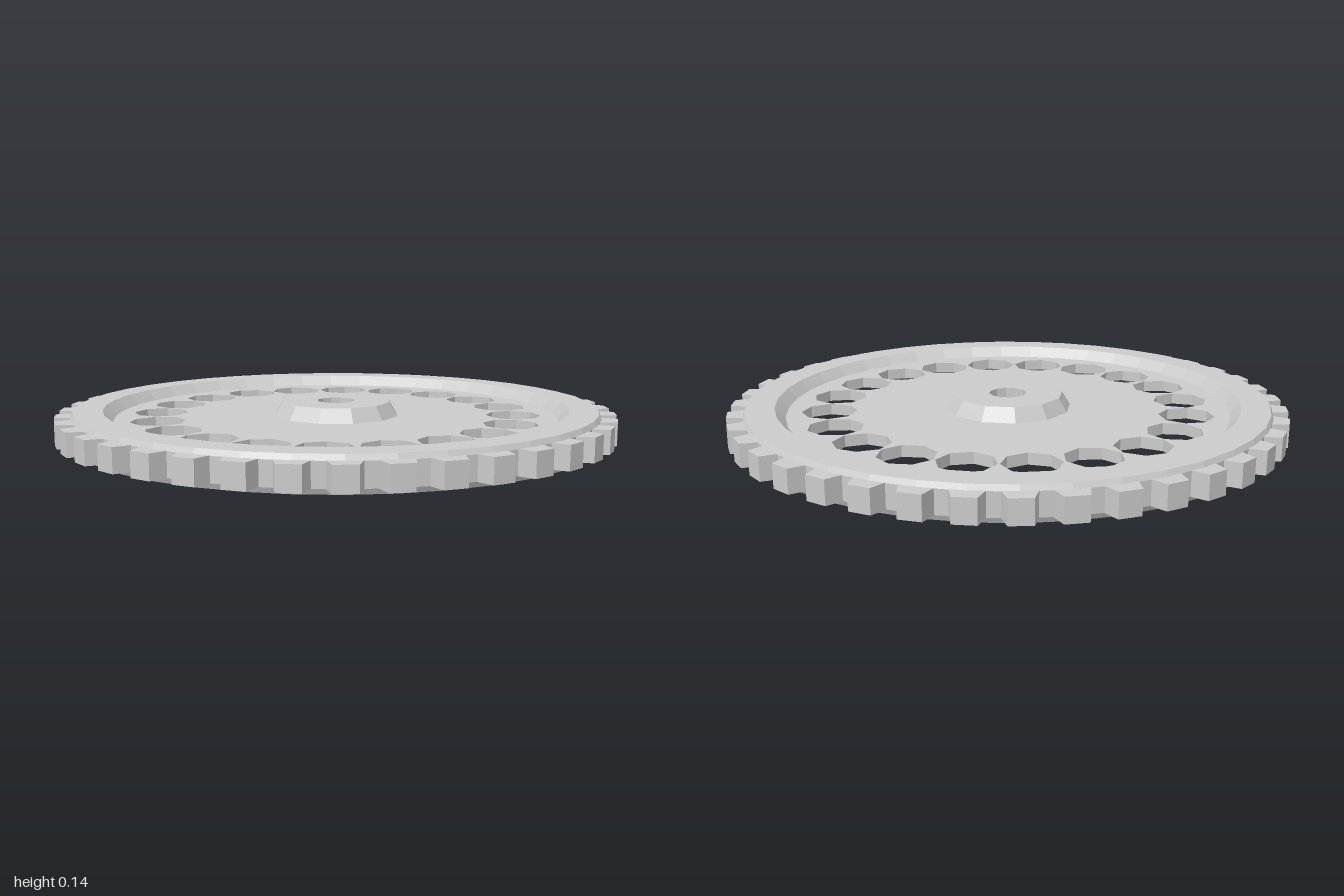
import * as THREE from 'three';

const TAU = Math.PI * 2;
const deg = THREE.MathUtils.degToRad;
const material = new THREE.MeshStandardMaterial({ color: 0xcccccc, flatShading: true });

// Regular polygon points, clockwise; angle 0 points along +y of the shape (+z of the wheel)
function polygon(radius, sides, cx = 0, cy = 0, phase = 0) {
  return Array.from({ length: sides }, (_, i) => {
    const a = phase + (i / sides) * TAU;
    return new THREE.Vector2(cx + radius * Math.sin(a), cy + radius * Math.cos(a));
  });
}

// Closed ring turned from a counterclockwise (radius, height) profile
function turned(name, profile, sides, phase) {
  const points = [...profile, profile[0]].map(([r, y]) => new THREE.Vector2(r, y));
  const mesh = new THREE.Mesh(new THREE.LatheGeometry(points, sides, phase), material);
  mesh.name = name;
  return mesh;
}

// Thin web with a ring of octagonal lightening holes
function makeWeb() {
  // Outline counterclockwise, holes clockwise, so the hole walls face inwards
  const shape = new THREE.Shape(polygon(0.82, 40).reverse());
  shape.holes.push(new THREE.Path(polygon(0.15, 12)));
  const count = 20;
  for (let i = 0; i < count; i++) {
    const a = deg(-3.3) + (i / count) * TAU;
    const hole = polygon(0.099, 8, 0.647 * Math.sin(a), 0.647 * Math.cos(a), a);
    shape.holes.push(new THREE.Path(hole));
  }
  const geometry = new THREE.ExtrudeGeometry(shape, { depth: 0.04, bevelEnabled: false });
  geometry.rotateX(Math.PI / 2).translate(0, 0.09, 0);
  const mesh = new THREE.Mesh(geometry, material);
  mesh.name = 'web';
  return mesh;
}

// Ring of teeth narrowing towards the tip
function makeTeeth() {
  const geometry = new THREE.BoxGeometry(0.118, 0.082, 0.08);
  const pos = geometry.attributes.position;
  for (let i = 0; i < pos.count; i++) {
    if (pos.getZ(i) > 0) pos.setX(i, pos.getX(i) * 0.64);
  }
  geometry.translate(0, 0.07, 0.96);
  const teeth = new THREE.Group();
  teeth.name = 'teeth';
  const count = 40;
  for (let i = 0; i < count; i++) {
    const tooth = new THREE.Mesh(geometry, material);
    tooth.name = 'tooth';
    tooth.rotation.y = deg(1.2) + (i / count) * TAU;
    teeth.add(tooth);
  }
  return teeth;
}

export function createModel() {
  const model = new THREE.Group();
  model.name = 'gearWheel';

  // Raised rim with sloped inner walls and slightly chamfered outer edges
  const rim = turned('rim', [
    [0.8, 0.05], [0.836, 0.012], [0.938, 0.012], [0.947, 0.03],
    [0.947, 0.11], [0.938, 0.128], [0.836, 0.128], [0.8, 0.09],
  ], 40, deg(1.2));

  // Conical hub on both faces with a through bore
  const hub = turned('hub', [
    [0.068, 0], [0.2, 0], [0.23, 0.05], [0.23, 0.09], [0.2, 0.14], [0.068, 0.14],
  ], 12, deg(-3.3));

  model.add(rim, hub, makeWeb(), makeTeeth());
  return model;
}
